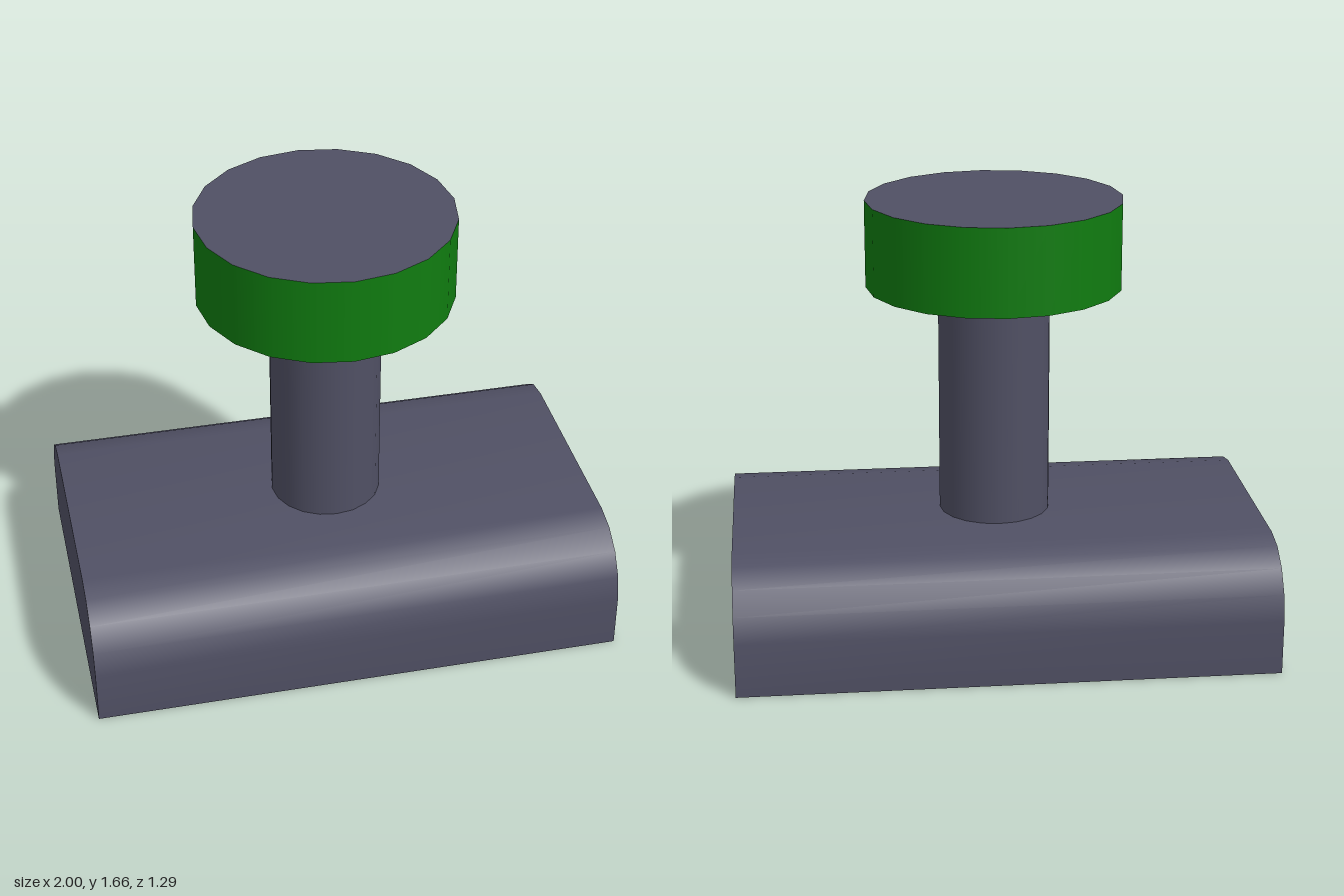
import * as THREE from 'three';
import { toCreasedNormals } from 'three/addons/utils/BufferGeometryUtils.js';

export function createModel() {
  const model = new THREE.Group();
  const slate = new THREE.MeshStandardMaterial({ name: 'slate grey', color: 0x505064 });
  const green = new THREE.MeshStandardMaterial({ name: 'green', color: 0x107c10 });

  const add = (name, geometry, material, y = 0) => {
    const mesh = new THREE.Mesh(geometry, material);
    mesh.name = name;
    mesh.position.y = y;
    model.add(mesh);
  };

  // Base: block with rounded upper long edges, extruded along x
  const halfDepth = 0.647, height = 0.46, radius = 0.253;
  const profile = new THREE.Shape();
  profile.moveTo(-halfDepth, 0);
  profile.lineTo(halfDepth, 0);
  for (const side of [1, -1]) {
    for (let i = 0; i <= 4; i++) {
      const a = (side > 0 ? i : 4 - i) * Math.PI / 8;
      profile.lineTo(
        side * (halfDepth - radius + radius * Math.cos(a)),
        height - radius + radius * Math.sin(a)
      );
    }
  }
  profile.closePath();
  const block = new THREE.ExtrudeGeometry(profile, { depth: 2, bevelEnabled: false });
  block.translate(0, 0, -1).rotateY(Math.PI / 2);
  add('base', toCreasedNormals(block, Math.PI / 6), slate);

  // Stem: plain post between base and button
  const stemBottom = 0.46, capBottom = 1.338, capTop = 1.665;
  add('stem', new THREE.CylinderGeometry(0.21, 0.21, capBottom - stemBottom, 20, 1, true),
    slate, (stemBottom + capBottom) / 2);

  // Button: green rim, grey top and underside
  add('button', new THREE.CylinderGeometry(0.479, 0.479, capTop - capBottom, 20),
    [green, slate, slate], (capBottom + capTop) / 2);

  return model;
}
